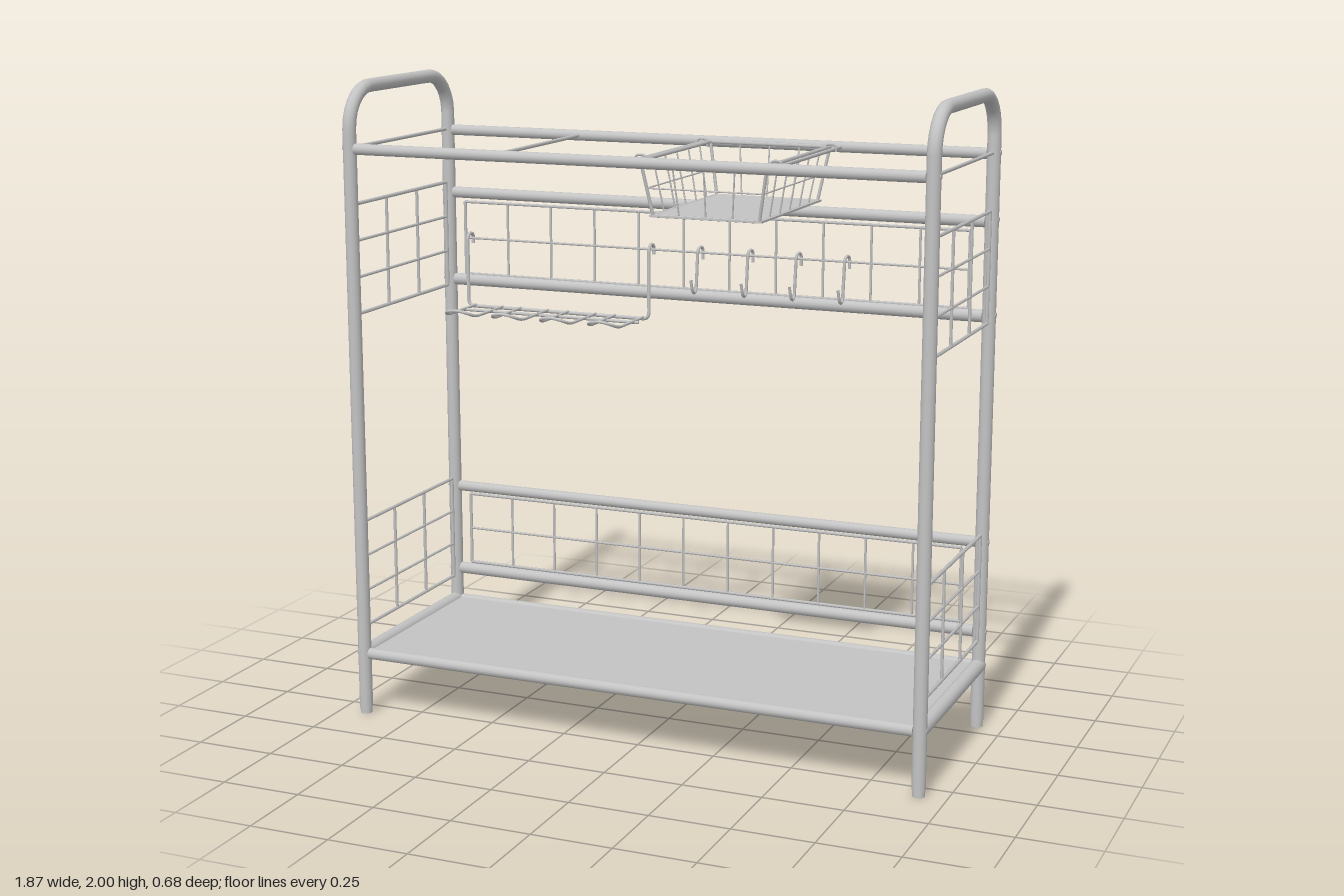
import * as THREE from 'three';

const steel = new THREE.MeshStandardMaterial({ color: 0xc3c3c3 });
steel.name = 'light steel grey';

const X = 0.915, Z = 0.315; // post centres

const V = (x, y, z) => new THREE.Vector3(x, y, z);

function add(parent, geometry, name) {
  const m = new THREE.Mesh(geometry, steel);
  m.name = name;
  parent.add(m);
  return m;
}

function group(parent, name) {
  const g = new THREE.Group();
  g.name = name;
  parent.add(g);
  return g;
}

// Straight round bar between two points
function bar(parent, a, b, r, name, sides = 8) {
  const d = b.clone().sub(a);
  const m = add(parent, new THREE.CylinderGeometry(r, r, d.length(), sides), name);
  m.position.copy(a).add(b).multiplyScalar(0.5);
  m.quaternion.setFromUnitVectors(V(0, 1, 0), d.normalize());
}

// Bent bar: straight runs joined by rounded corners
function bentBar(parent, pts, bend, r, name, sides = 8, segments = 40) {
  const path = new THREE.CurvePath();
  let from = pts[0];
  for (let i = 1; i < pts.length - 1; i++) {
    const p = pts[i];
    const toward = (q) => p.clone().add(q.clone().sub(p).setLength(Math.min(bend, q.distanceTo(p) * 0.49)));
    const a = toward(pts[i - 1]), b = toward(pts[i + 1]);
    path.add(new THREE.LineCurve3(from, a));
    // Cubic with circular-arc handles
    path.add(new THREE.CubicBezierCurve3(a, a.clone().lerp(p, 0.55), b.clone().lerp(p, 0.55), b));
    from = b;
  }
  path.add(new THREE.LineCurve3(from, pts[pts.length - 1]));
  add(parent, new THREE.TubeGeometry(path, segments, r, sides), name);
}

// Wire grid; at(u, v) places a point, us and vs list the wire positions
function wireGrid(parent, name, us, vs, at, r) {
  const g = group(parent, name);
  const u1 = us[us.length - 1], v1 = vs[vs.length - 1];
  us.forEach((u, i) => bar(g, at(u, vs[0]), at(u, v1), i % (us.length - 1) ? r * 0.8 : r, 'uprightWire', 6));
  vs.forEach((v, i) => bar(g, at(us[0], v), at(u1, v), i % (vs.length - 1) ? r * 0.8 : r, 'crossWire', 6));
}

const steps = (a, b, n) => Array.from({ length: n + 1 }, (_, i) => a + (b - a) * i / n);

export function createModel() {
  const model = new THREE.Group();
  model.name = 'kitchenRack';

  // End frames: arched tube, feet, screws, side grids
  for (const s of [-1, 1]) {
    const end = group(model, s > 0 ? 'leftEnd' : 'rightEnd');
    const x = s * X;
    bentBar(end, [V(x, 0.02, Z), V(x, 1.979, Z), V(x, 1.979, -Z), V(x, 0.02, -Z)], 0.125, 0.021, 'archedPost', 16, 150);
    for (const z of [-Z, Z]) {
      bar(end, V(x, 0, z), V(x, 0.03, z), 0.019, 'foot', 16);
      const heights = z < 0 ? [0.2, 0.31, 0.6, 1.31, 1.6, 1.8] : [0.2, 1.8];
      for (const y of heights) bar(end, V(x + s * 0.017, y, z), V(x + s * 0.022, y, z), 0.008, 'screw', 10);
    }
    bar(end, V(x, 0.2, -Z), V(x, 0.2, Z), 0.023, 'lowerSideRail', 14);
    bar(end, V(x, 1.8, -Z), V(x, 1.8, Z), 0.006, 'upperSideRod');
    for (const y of [0.285, 1.287]) {
      wireGrid(end, 'sideGrid', steps(-0.29, 0.297, 3), steps(y, y + 0.34, 3), (u, v) => V(x, v, u), 0.006);
    }
  }

  // Long rails
  const rails = group(model, 'longRails');
  for (const [y, z, r] of [[1.797, Z, 0.017], [1.797, -Z, 0.017], [0.198, Z, 0.018], [0.198, -Z, 0.018],
    [1.593, -Z, 0.018], [1.305, -Z, 0.019], [0.598, -Z, 0.017], [0.31, -Z, 0.019]]) {
    bar(rails, V(-0.896, y, z), V(0.896, y, z), r, 'longRail', 14);
  }

  // Back grids
  for (const y of [0.335, 1.325]) {
    wireGrid(model, 'backGrid', steps(-0.857, 0.85, 11), steps(y, y + 0.238, 2), (u, v) => V(u, v, -Z), 0.005);
  }

  // Bottom shelf: plate on wires
  const shelf = group(model, 'bottomShelf');
  add(shelf, new THREE.BoxGeometry(1.79, 0.008, 0.6), 'shelfPlate').position.y = 0.204;
  for (const z of steps(-0.27, 0.27, 9)) bar(shelf, V(-0.89, 0.195, z), V(0.89, 0.195, z), 0.005, 'shelfWire', 6);
  for (const x of [-0.44, 0, 0.44]) bar(shelf, V(x, 0.188, -0.3), V(x, 0.188, 0.3), 0.006, 'shelfBrace', 6);

  // Top cross rods
  for (const x of [-0.44, 0, 0.44]) bar(model, V(x, 1.797, -Z), V(x, 1.797, Z), 0.006, 'topCrossRod');

  // Hanging basket with sloping wire walls
  const basket = group(model, 'basket');
  const cx = 0.22, topY = 1.8, lowY = 1.637;
  const ring = (t) => { // corners at height fraction t
    const w = 0.165 + 0.03 * t, d = 0.252 + 0.022 * t, y = lowY + (topY - lowY) * t;
    return [V(cx - w, y, -d), V(cx + w, y, -d), V(cx + w, y, d), V(cx - w, y, d)];
  };
  for (const [t, r] of [[0, 0.005], [0.5, 0.0025], [1, 0.006]]) {
    const c = ring(t);
    c.forEach((p, i) => bar(basket, p, c[(i + 1) % 4], r, 'basketRing', 6));
  }
  const low = ring(0), high = ring(1);
  for (let i = 0; i < 4; i++) {
    const j = (i + 1) % 4, n = i % 2 ? 6 : 4;
    for (let k = 0; k < n; k++) {
      bar(basket, low[i].clone().lerp(low[j], k / n), high[i].clone().lerp(high[j], k / n), k ? 0.0025 : 0.005, 'basketWire', 6);
    }
  }
  add(basket, new THREE.BoxGeometry(0.35, 0.006, 0.52), 'basketFloor').position.set(cx, lowY, 0);
  for (const s of [-1, 1]) for (const z of [-0.24, 0.24]) {
    bentBar(basket, [V(cx + s * 0.193, 1.79, z), V(cx + s * 0.193, 1.812, z), V(cx + s * 0.226, 1.812, z), V(cx + s * 0.226, 1.79, z)], 0.012, 0.004, 'basketHook', 6, 16);
  }

  // Small hooks on the upper back grid
  for (const x of [-0.027, 0.142, 0.302, 0.46]) {
    bentBar(model, [V(x + 0.005, 1.42, -0.332), V(x + 0.005, 1.462, -0.332), V(x, 1.462, -0.3),
      V(x - 0.003, 1.32, -0.292), V(x - 0.003, 1.32, -0.265), V(x - 0.006, 1.365, -0.255)], 0.018, 0.005, 'utensilHook', 6, 40);
  }

  // Stemware holder hanging from the upper back grid
  const holder = group(model, 'stemwareHolder');
  const hy = 1.222, hx0 = -0.84, hx1 = -0.193;
  bentBar(holder, [V(hx0, 1.425, -0.335), V(hx0, 1.46, -0.335), V(hx0, 1.46, -0.295), V(hx0, hy, -0.295),
    V(hx1, hy, -0.295), V(hx1, 1.46, -0.295), V(hx1, 1.46, -0.335), V(hx1, 1.425, -0.335)], 0.02, 0.006, 'holderFrame', 8, 140);
  bar(holder, V(hx0 + 0.02, hy, -0.222), V(hx1 - 0.005, hy, -0.222), 0.005, 'holderCrossWire');
  // Loops with upturned round tips
  for (const x of [-0.765, -0.6, -0.43, -0.263]) {
    const w = 0.049;
    bentBar(holder, [V(x - w, hy + 0.004, -0.295), V(x - w, hy + 0.004, -0.1), V(x - w * 0.8, hy + 0.02, -0.062),
      V(x, hy + 0.028, -0.058), V(x + w * 0.8, hy + 0.02, -0.062), V(x + w, hy + 0.004, -0.1),
      V(x + w, hy + 0.004, -0.295)], 0.028, 0.005, 'stemLoop', 8, 60);
  }

  return model;
}
